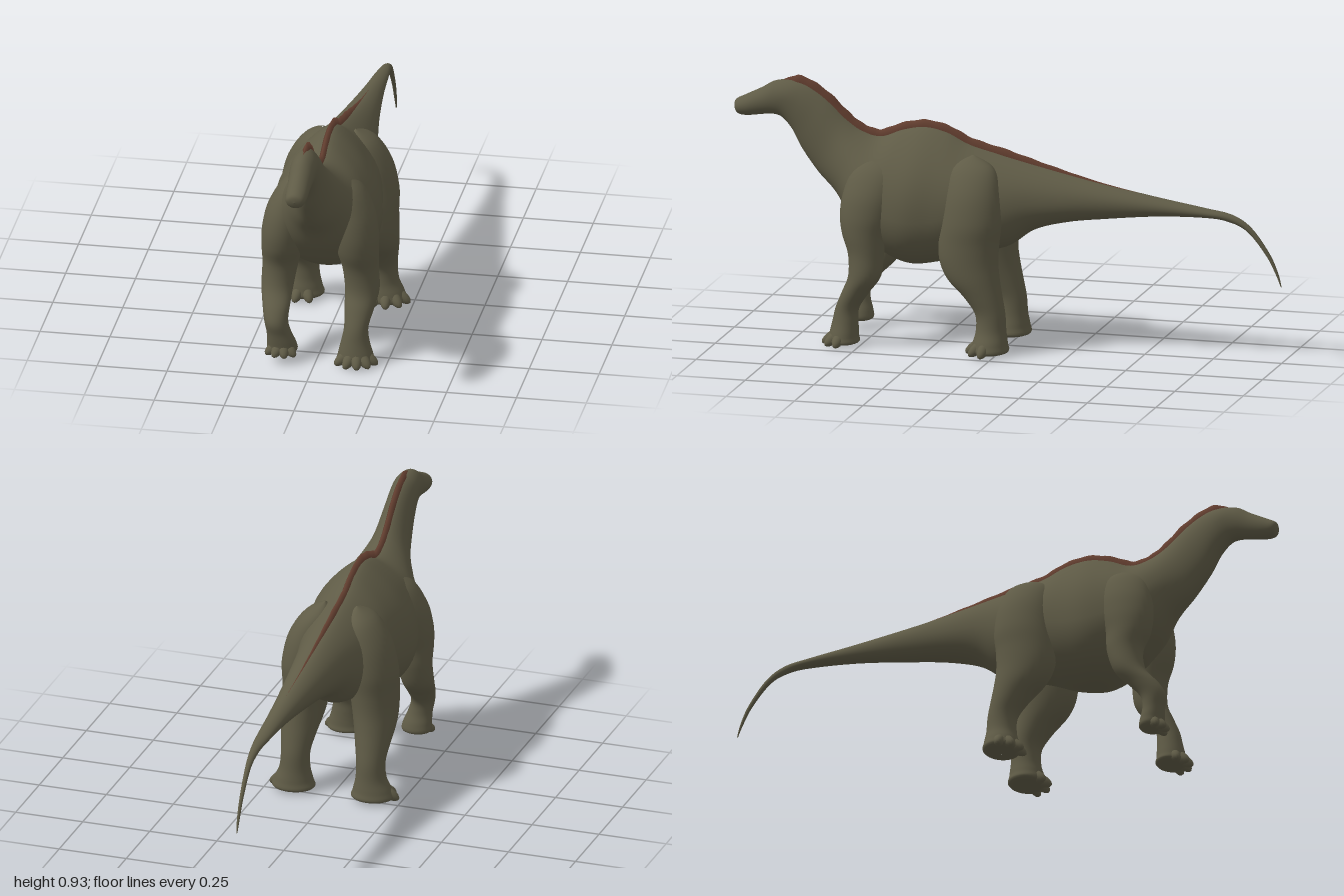
import * as THREE from 'three';

const hide = new THREE.MeshStandardMaterial({ color: 0x5f5b46 });
hide.name = 'olive hide';
const crestBrown = new THREE.MeshStandardMaterial({ color: 0x643f30 });
crestBrown.name = 'crest brown';

// Smooth in-between rows (Catmull-Rom on every number of the row)
function refine(rows, sub) {
  const out = [];
  const row = i => rows[Math.min(Math.max(i, 0), rows.length - 1)];
  for (let i = 0; i < rows.length - 1; i++) {
    for (let k = 0; k < sub; k++) {
      const t = k / sub;
      out.push(row(i).map((b, n) => {
        const a = row(i - 1)[n], c = row(i + 1)[n], d = row(i + 2)[n];
        return b + 0.5 * t * (c - a + t * (2 * a - 5 * b + 4 * c - d + t * (3 * (b - c) + d - a)));
      }));
    }
  }
  out.push(row(rows.length - 1));
  return out;
}

// Closed skin over a list of rows; point(row, angle) gives each ring vertex
function loft(rows, point, seg) {
  const pos = [], index = [];
  rows.forEach((r, i) => {
    for (let j = 0; j < seg; j++) {
      pos.push(...point(r, (j / seg) * Math.PI * 2));
      if (i === rows.length - 1) continue;
      const a = i * seg + j, b = i * seg + (j + 1) % seg;
      index.push(a, b, a + seg, b, b + seg, a + seg);
    }
  });
  const g = new THREE.BufferGeometry();
  g.setAttribute('position', new THREE.Float32BufferAttribute(pos, 3));
  g.setIndex(index);
  g.computeVertexNormals();
  return g;
}

function mesh(name, geometry, material, parent) {
  const m = new THREE.Mesh(geometry, material);
  m.name = name;
  parent.add(m);
  return m;
}

// Body slices, snout to tail tip: top z, top y, bottom z, bottom y, half width, height of widest point
const HEAD_NECK = [
  [0.998, 0.808, 0.998, 0.807, 0.0005, 0.5],
  [0.993, 0.832, 0.985, 0.782, 0.029, 0.5],
  [0.96, 0.85, 0.95, 0.777, 0.038, 0.5],
  [0.90, 0.88, 0.89, 0.785, 0.041, 0.5],
  [0.85, 0.908, 0.85, 0.787, 0.045, 0.5],
  [0.79, 0.914, 0.82, 0.775, 0.048, 0.55],
  [0.73, 0.90, 0.785, 0.735, 0.05, 0.5],
  [0.66, 0.855, 0.75, 0.67, 0.055, 0.5],
  [0.59, 0.79, 0.69, 0.59, 0.07, 0.5],
];
const TRUNK = [
  [0.53, 0.75, 0.62, 0.52, 0.105, 0.45],
  [0.46, 0.735, 0.56, 0.43, 0.15, 0.4],
  [0.38, 0.765, 0.47, 0.34, 0.177, 0.37],
  [0.30, 0.78, 0.36, 0.287, 0.193, 0.37],
  [0.22, 0.765, 0.25, 0.296, 0.178, 0.38],
  [0.14, 0.727, 0.14, 0.335, 0.16, 0.42],
  [0.04, 0.70, 0.0, 0.365, 0.13, 0.45],
];
const TAIL = [
  [-0.08, 0.67, -0.1, 0.432, 0.1, 0.45],
  [-0.2, 0.642, -0.22, 0.467, 0.08, 0.45],
  [-0.34, 0.612, -0.36, 0.487, 0.06, 0.5],
  [-0.55, 0.575, -0.55, 0.508, 0.038, 0.5],
  [-0.72, 0.548, -0.72, 0.514, 0.025, 0.5],
  [-0.82, 0.53, -0.805, 0.505, 0.016, 0.5],
  [-0.89, 0.487, -0.875, 0.473, 0.01, 0.5],
  [-0.955, 0.40, -0.942, 0.393, 0.007, 0.5],
  [-0.987, 0.33, -0.977, 0.328, 0.005, 0.5],
  [-1.0, 0.28, -0.997, 0.28, 0.002, 0.5],
];

// Egg-shaped ring; wide slices are pinched towards the spine
function slicePoint([tz, ty, bz, by, w, f], a) {
  const c = Math.cos(a), s = c > 0 ? f + (1 - f) * c : f + f * c;
  const pinch = 1 - Math.min(0.5, 2.5 * w) * Math.max(c, 0) ** 3;
  return [w * pinch * Math.sin(a), by + (ty - by) * s, bz + (tz - bz) * s];
}

// Leg rings, top to bottom: y, centre x, centre z, radius x, radius z
const HIND_LEG = [
  [0.70, 0.06, 0.11, 0.002, 0.004],
  [0.66, 0.08, 0.105, 0.052, 0.075],
  [0.58, 0.103, 0.10, 0.082, 0.1],
  [0.48, 0.12, 0.10, 0.09, 0.109],
  [0.40, 0.125, 0.108, 0.086, 0.109],
  [0.33, 0.13, 0.106, 0.081, 0.105],
  [0.27, 0.135, 0.088, 0.074, 0.094],
  [0.21, 0.138, 0.053, 0.062, 0.07],
  [0.15, 0.14, 0.026, 0.052, 0.054],
  [0.09, 0.142, 0.022, 0.055, 0.054],
  [0.045, 0.147, 0.024, 0.07, 0.062],
  [0.015, 0.147, 0.024, 0.073, 0.062],
  [0.005, 0.147, 0.024, 0.001, 0.001],
];
const UPPER_ARM = [
  [0.69, 0.07, 0.45, 0.002, 0.004],
  [0.64, 0.09, 0.455, 0.052, 0.08],
  [0.56, 0.114, 0.47, 0.075, 0.096],
  [0.48, 0.128, 0.482, 0.079, 0.094],
  [0.41, 0.135, 0.487, 0.074, 0.08],
  [0.34, 0.143, 0.479, 0.064, 0.064],
];
const PLANTED_ARM = [...UPPER_ARM,
  [0.26, 0.15, 0.482, 0.061, 0.058],
  [0.20, 0.145, 0.515, 0.053, 0.049],
  [0.14, 0.14, 0.547, 0.043, 0.042],
  [0.09, 0.138, 0.555, 0.05, 0.046],
  [0.04, 0.14, 0.56, 0.063, 0.052],
  [0.015, 0.14, 0.56, 0.063, 0.052],
  [0.005, 0.14, 0.56, 0.001, 0.001],
];
const RAISED_ARM = [...UPPER_ARM,
  [0.26, 0.15, 0.50, 0.057, 0.056],
  [0.20, 0.145, 0.553, 0.048, 0.052],
  [0.155, 0.14, 0.582, 0.042, 0.045],
  [0.11, 0.13, 0.58, 0.044, 0.04],
  [0.07, 0.122, 0.572, 0.052, 0.043],
  [0.04, 0.12, 0.568, 0.05, 0.04],
  [0.03, 0.12, 0.568, 0.001, 0.001],
];

// Leg with a fan of sloping toes; angles open from forward to outward
function addLeg(parent, name, rows, side, toeAngles, reach, lift) {
  const leg = new THREE.Group();
  leg.name = name;
  mesh(name + 'Limb', loft(refine(rows, 5),
    ([y, x, z, rx, rz], a) => [side * x + rx * Math.cos(a), y, z + rz * Math.sin(a)], 32), hide, leg);
  const [, x, z] = rows[rows.length - 1];
  for (const deg of toeAngles) {
    const a = side * THREE.MathUtils.degToRad(deg);
    const toe = mesh(name + 'Toe', new THREE.SphereGeometry(1, 16, 12), hide, leg);
    toe.scale.set(0.021, 0.021, 0.05);
    toe.rotation.set(0.55, a, 0, 'YXZ');
    toe.position.set(side * x + Math.sin(a) * reach, 0.036 + lift, z + Math.cos(a) * reach * 0.85);
  }
  parent.add(leg);
}

export function createModel() {
  const model = new THREE.Group();
  model.name = 'longNeckedDinosaur';

  // Head, neck, trunk and tail in one skin
  const slices = refine([...HEAD_NECK, ...TRUNK, ...TAIL], 6);
  mesh('body', loft(slices, slicePoint, 48), hide, model);

  // Sharp narrow crest along the spine, fading at both ends
  const spine = slices.filter(s => s[0] < 0.83 && s[0] > -0.5);
  const crestRows = spine.map(([z, y], i) => {
    const fade = Math.min(1, i / 5, (spine.length - 1 - i) / 20);
    const [pz, py] = spine[Math.max(i - 1, 0)], [nz, ny] = spine[Math.min(i + 1, spine.length - 1)];
    const len = Math.hypot(pz - nz, py - ny), uz = (ny - py) / len, uy = (pz - nz) / len;
    const h = fade * (0.022 + 0.0015 * Math.sin(i * 1.3));
    return [z + uz * h, y + uy * h, z - uz * 0.018, y - uy * 0.018, 0.002 + 0.01 * fade, 0.35];
  });
  mesh('spineCrest', loft(crestRows, slicePoint, 4), crestBrown, model);

  // Legs: the right front one is lifted in mid-step
  addLeg(model, 'leftHindLeg', HIND_LEG, 1, [-25, 10, 45, 80], 0.052, 0);
  addLeg(model, 'rightHindLeg', HIND_LEG, -1, [-25, 10, 45, 80], 0.052, 0);
  addLeg(model, 'leftFrontLeg', PLANTED_ARM, 1, [-55, -20, 12, 45, 80], 0.04, 0);
  addLeg(model, 'rightFrontLeg', RAISED_ARM, -1, [-50, -15, 20, 55], 0.025, 0.022);
  return model;
}
